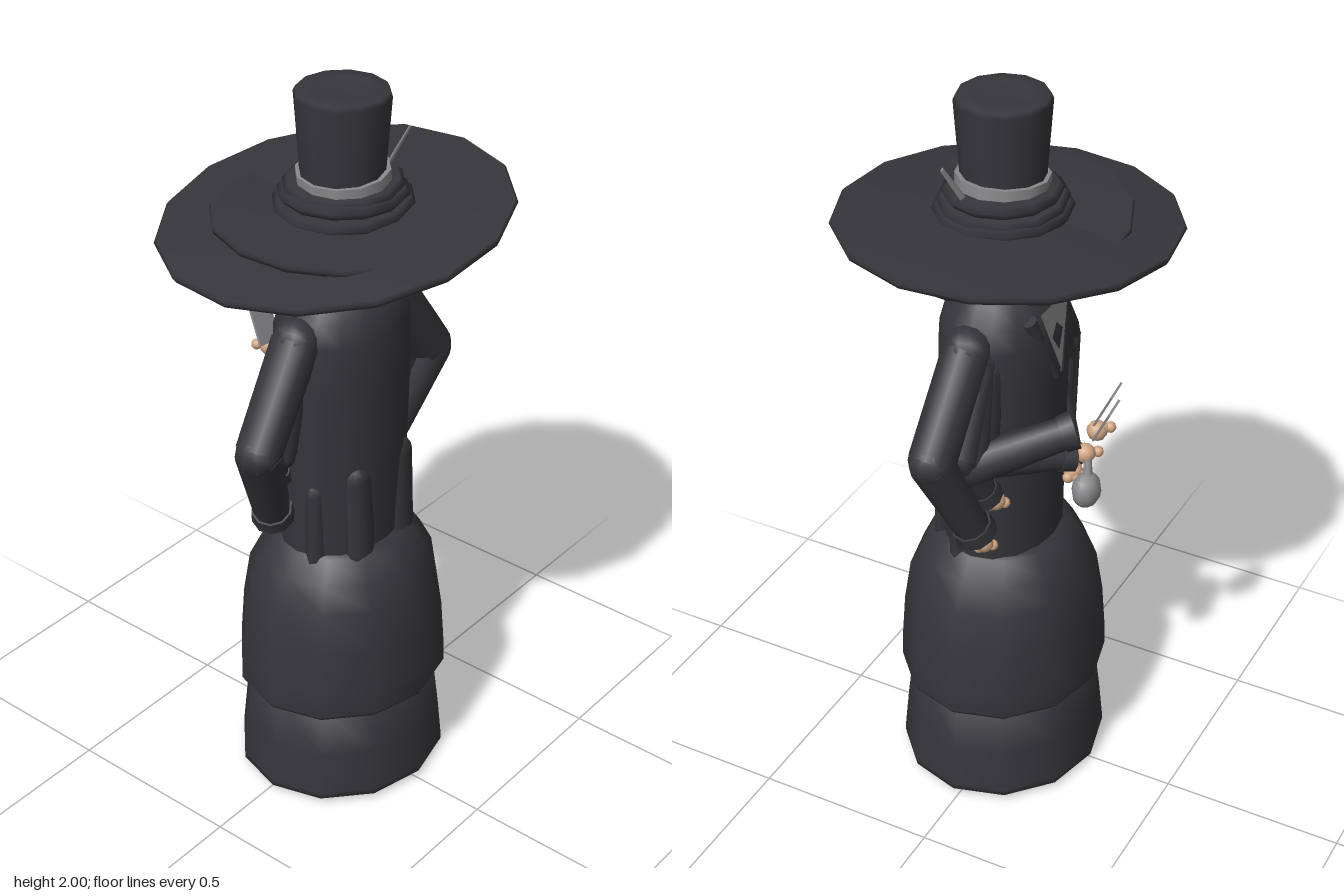
import * as THREE from 'three';

const cloth = new THREE.MeshStandardMaterial({ color: 0x36363b });
cloth.name = 'dark cloth';
const skin = new THREE.MeshStandardMaterial({ color: 0xd0a582 });
skin.name = 'skin';
const grey = new THREE.MeshStandardMaterial({ color: 0x8a8a8c, side: THREE.DoubleSide });
grey.name = 'grey';

const V = (x, y, z) => new THREE.Vector3(x, y, z);
const UP = V(0, 1, 0);
const CX = 0.008; // body axis
const CZ = 0.014;

export function createModel() {
  const model = new THREE.Group();
  model.name = 'robedFigure';

  const add = (name, geo, mat, pos = [0, 0, 0], parent = model) => {
    const m = new THREE.Mesh(geo, mat);
    m.name = name;
    m.position.set(...pos);
    parent.add(m);
    return m;
  };
  const lathe = (pts, sides) => new THREE.LatheGeometry(pts.map(p => new THREE.Vector2(...p)), sides);

  // tapered limb segment between two points
  const limb = (name, a, b, ra, rb, mat, parent) => {
    const d = b.clone().sub(a);
    const m = add(name, new THREE.CylinderGeometry(rb, ra, d.length(), 10), mat,
      a.clone().add(b).multiplyScalar(0.5).toArray(), parent);
    m.quaternion.setFromUnitVectors(UP, d.normalize());
    return m;
  };
  const ball = (name, p, r, mat, parent) =>
    add(name, new THREE.SphereGeometry(r, 10, 8), mat, p.toArray(), parent);

  // sleeve, cuff, palm and fingers
  const arm = (name, shoulder, elbow, wrist, hand, r) => {
    const g = new THREE.Group();
    g.name = name;
    model.add(g);
    limb('upperSleeve', shoulder, elbow, r, r * 0.95, cloth, g);
    limb('foreSleeve', elbow, wrist, r * 0.95, r * 0.75, cloth, g);
    ball('shoulder', shoulder, r, cloth, g);
    ball('elbow', elbow, r * 0.95, cloth, g);
    const dir = wrist.clone().sub(elbow).normalize();
    const cuffEnd = wrist.clone().addScaledVector(dir, 0.022);
    limb('cuff', wrist.clone().addScaledVector(dir, -0.015), cuffEnd, r * 0.85, r * 0.9, cloth, g);
    ball('palm', hand, 0.027, skin, g);
    for (let i = 0; i < 3; i++) {
      const f = hand.clone().addScaledVector(dir, 0.017);
      f.x += (i - 1) * 0.013;
      f.z += (i - 1) * 0.013;
      ball('finger', f, 0.015, skin, g);
    }
  };

  // skirt in two tiers
  const skirtDepth = 0.91;
  const lower = add('lowerSkirt', lathe([[0, 0.012], [0.29, 0.012], [0.303, 0.018], [0.303, 0.035],
    [0.29, 0.16], [0.272, 0.3], [0.2, 0.32]], 12), cloth, [CX, 0, CZ]);
  const upper = add('upperSkirt', lathe([[0.25, 0.305], [0.297, 0.293], [0.304, 0.305], [0.302, 0.37],
    [0.292, 0.5], [0.272, 0.62], [0.235, 0.69], [0.195, 0.75], [0.15, 0.76]], 12), cloth, [CX, 0, CZ]);
  lower.scale.z = upper.scale.z = skirtDepth;

  // shoes just showing below the hem
  for (const s of [-1, 1]) add('shoe', new THREE.BoxGeometry(0.055, 0.05, 0.09), grey, [CX + s * 0.065, 0.025, 0]);

  // coat body
  const coat = add('coat', lathe([[0.186, 0.7], [0.19, 0.78], [0.195, 1.0], [0.201, 1.25], [0.198, 1.38],
    [0.178, 1.44], [0.14, 1.49], [0.09, 1.518], [0, 1.525]], 16), cloth, [CX, 0, 0.012]);
  coat.scale.z = 0.79;

  // rounded coat tails on the +z side
  for (const s of [-1, 1]) {
    const tail = add('coatTail', new THREE.CapsuleGeometry(0.046, 0.22, 4, 10), cloth,
      [CX + 0.002 + s * 0.083, 0.865, 0.138]);
    tail.scale.z = 0.6;
    tail.rotation.x = -0.04;
    const side = add('sideTail', new THREE.CapsuleGeometry(0.035, 0.2, 4, 8), cloth, [CX + s * 0.16, 0.84, 0.06]);
    side.scale.z = 0.7;
  }

  // shirt triangle and lapels on the -z side
  const shirt = new THREE.BufferGeometry().setFromPoints([
    V(CX - 0.075, 1.465, -0.13), V(CX + 0.075, 1.465, -0.13), V(CX, 1.275, -0.152)]);
  shirt.setIndex([0, 1, 2]);
  shirt.computeVertexNormals();
  add('shirt', shirt, grey);
  for (const s of [-1, 1]) {
    limb('lapel', V(CX + s * 0.09, 1.45, -0.105), V(CX + s * 0.012, 1.26, -0.14), 0.02, 0.012, cloth, model);
  }

  // outer arms with hands at the hips, and a second pair tucked inside
  for (const s of [-1, 1]) {
    const P = (x, y, z) => V(CX + s * x, y, z);
    arm('hipArm', P(0.185, 1.385, 0.015), P(0.35, 1.145, 0.03), P(0.24, 0.89, -0.025), P(0.218, 0.835, -0.042), 0.064);
    arm('innerArm', P(0.17, 1.35, -0.01), P(0.275, 1.13, -0.01), P(0.21, 0.99, -0.04), P(0.185, 0.955, -0.06), 0.05);
  }

  // arms reaching forward
  arm('raisedArm', V(0.18, 1.36, 0), V(0.26, 1.09, -0.02), V(0.11, 1.165, -0.22), V(0.06, 1.16, -0.28), 0.056);
  arm('middleArm', V(0.17, 1.33, -0.02), V(0.22, 1.08, -0.03), V(0.05, 1.045, -0.185), V(0, 1.035, -0.22), 0.048);
  arm('lowArm', V(-0.17, 1.34, 0), V(-0.22, 1.07, -0.01), V(-0.07, 0.965, -0.14), V(-0.03, 0.945, -0.172), 0.05);

  // held items: two cards and a round flask
  [[0.05, 1.235, -0.3, 0.13], [0.085, 1.215, -0.315, 0.11]].forEach(([x, y, z, h]) => {
    const card = add('card', new THREE.BoxGeometry(0.065, h, 0.006), grey, [x, y, z]);
    card.rotation.set(-0.45, 0.1, -0.12);
  });
  const flask = ball('flask', V(0.03, 0.945, -0.24), 0.042, grey, model);
  flask.scale.set(1.1, 1.2, 0.9);
  limb('flaskNeck', V(0.025, 0.98, -0.24), V(0.015, 1.03, -0.235), 0.014, 0.01, grey, model);

  // head
  const head = add('head', new THREE.SphereGeometry(0.114, 20, 14), skin, [CX, 1.63, 0.01]);
  head.scale.z = 1.02;

  // hat
  const hat = new THREE.Group();
  hat.name = 'hat';
  model.add(hat);
  add('headBand', new THREE.CylinderGeometry(0.13, 0.122, 0.05, 12), cloth, [CX, 1.635, 0.014], hat)
    .rotation.z = -0.08;

  // wide tilted brim crossed by a smaller one
  const disc = r => lathe([[0, -0.025], [r * 0.7, -0.018], [r * 0.985, -0.012], [r, 0],
    [r * 0.985, 0.008], [r * 0.5, 0.022], [0, 0.03]], 15);
  const brim = add('brim', disc(0.477), cloth, [0, 1.667, 0], hat);
  brim.geometry.rotateY(Math.PI);
  brim.scale.z = 0.9;
  brim.rotation.set(-0.022, 0, 0.084);
  const brim2 = add('innerBrim', disc(0.355), cloth, [0.015, 1.661, 0.01], hat);
  brim2.scale.z = 0.9;
  brim2.rotation.set(0.03, 0, -0.07);

  // folded rings at the foot of the crown
  [[0.185, 1.705, 0.03], [0.172, 1.73, -0.05], [0.158, 1.752, 0.04]].forEach(([r, y, tilt]) => {
    const ring = add('hatFold', lathe([[0, -0.02], [r - 0.015, -0.018], [r, 0], [r - 0.015, 0.014], [0, 0.018]], 12),
      cloth, [0.014, y, 0.01], hat);
    ring.scale.z = 0.95;
    ring.rotation.set(tilt * 0.5, 0, tilt);
  });

  // crown, ribbon and feather
  add('crown', lathe([[0.108, 1.7], [0.108, 1.8], [0.121, 1.985], [0.115, 1.998], [0.075, 2.0], [0.07, 1.994], [0, 1.994]], 12),
    cloth, [0.005, 0, 0.014], hat);
  const ribbon = add('ribbon', new THREE.CylinderGeometry(0.119, 0.119, 0.03, 12), grey, [0.008, 1.777, 0.014], hat);
  ribbon.rotation.z = 0.07;
  const feather = limb('feather', V(0.125, 1.75, 0.05), V(0.182, 1.86, 0.085), 0.011, 0.007, grey, hat);
  feather.scale.z = 0.4;

  return model;
}
